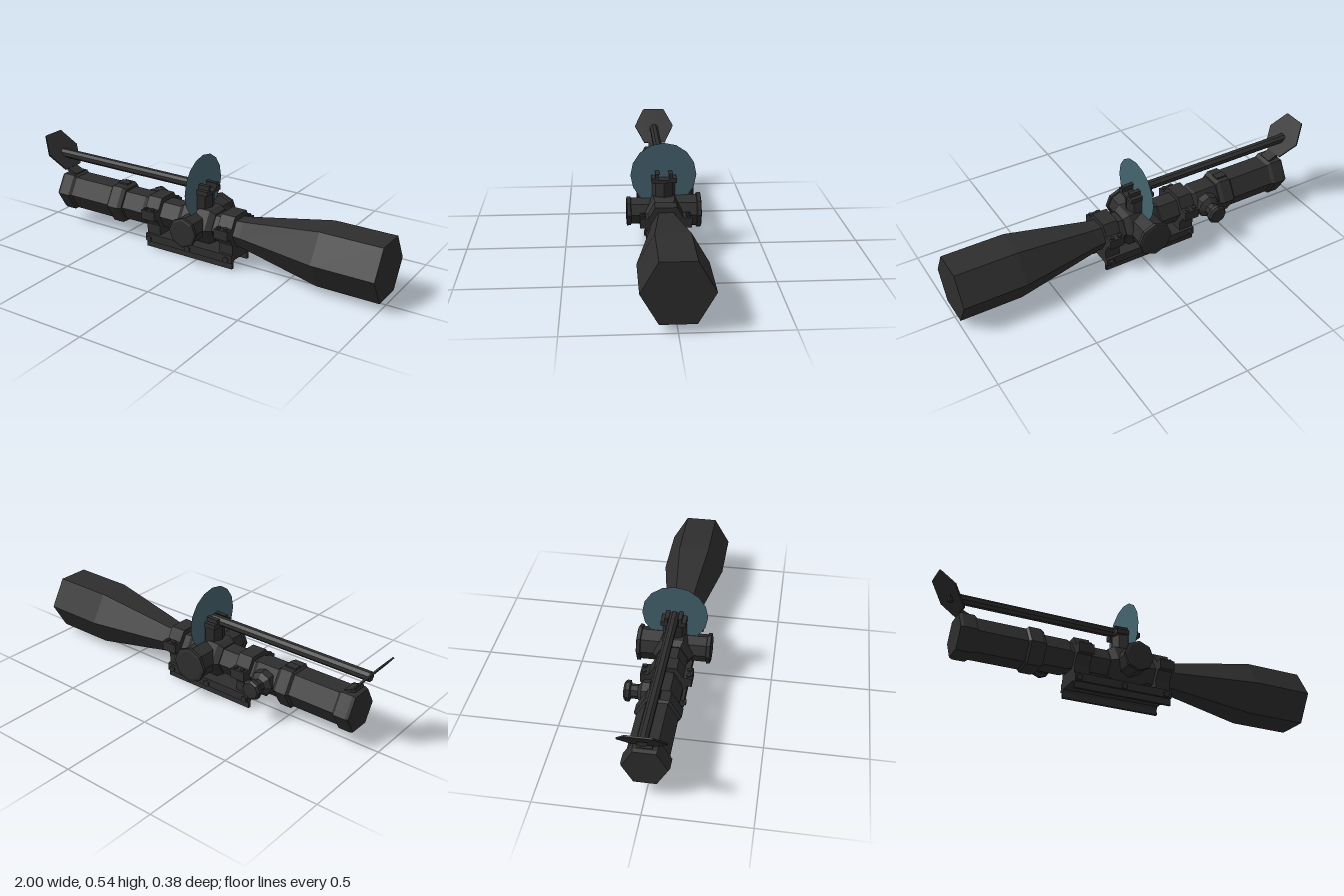
import * as THREE from 'three';

const AXIS = 0.181; // height of the optical axis
const black = new THREE.MeshStandardMaterial({ color: 0x2e2e2e, flatShading: true });
black.name = 'matte black';
const glass = new THREE.MeshStandardMaterial({ color: 0x45646f, flatShading: true, side: THREE.DoubleSide });
glass.name = 'blue glass';

export function createModel() {
  const root = new THREE.Group();
  root.name = 'scope';

  const add = (name, geometry, x = 0, y = 0, z = 0, material = black) => {
    const mesh = new THREE.Mesh(geometry, material);
    mesh.name = name;
    mesh.position.set(x, y, z);
    root.add(mesh);
    return mesh;
  };
  const box = (name, w, h, d, x, y, z) => add(name, new THREE.BoxGeometry(w, h, d), x, y, z);

  // Turned part: [radius, distance] pairs, closed at both ends
  const turned = (profile, sides) => {
    const pts = profile.map(([r, t]) => new THREE.Vector2(r, t));
    pts.unshift(new THREE.Vector2(0, profile[0][1]));
    pts.push(new THREE.Vector2(0, profile[profile.length - 1][1]));
    return new THREE.LatheGeometry(pts, sides);
  };
  const alongX = (name, profile, sides = 6) =>
    add(name, turned(profile, sides).rotateZ(-Math.PI / 2), 0, AXIS, 0);

  // Half outline in (z, y), mirrored and pushed along x from x0 to x1
  const channel = (name, half, x0, x1) => {
    const mirrored = half.map(([z, y]) => [-z, y]).reverse();
    const shape = new THREE.Shape([...half, ...mirrored].map(([z, y]) => new THREE.Vector2(z, y)));
    const g = new THREE.ExtrudeGeometry(shape, { depth: x1 - x0, bevelEnabled: false });
    return add(name, g.rotateY(Math.PI / 2), x0, 0, 0);
  };

  // Hexagonal body, eyepiece to objective
  alongX('eyepieceLip', [[0.106, -0.89], [0.112, -0.875], [0.112, -0.815], [0.1, -0.8]]);
  alongX('eyepieceBody', [[0.1, -0.82], [0.1, -0.54]]);
  alongX('zoomRing', [[0.1, -0.555], [0.113, -0.545], [0.113, -0.485], [0.101, -0.465]]);
  alongX('rearCollar', [[0.089, -0.48], [0.089, -0.34], [0.079, -0.32]]);
  alongX('mainTube', [[0.079, -0.34], [0.079, 0.26]]);
  alongX('objectiveBell', [[0.079, 0.22], [0.082, 0.25], [0.162, 0.68], [0.162, 1.0]]);
  box('zoomRingTab', 0.06, 0.02, 0.04, -0.515, 0.277, -0.01);

  // Turret block and the two side turrets
  alongX('turretBlock', [[0.085, -0.12], [0.105, -0.09], [0.105, 0.06], [0.085, 0.09]]);
  for (const [name, side, r] of [['leftTurret', 1, 0.078], ['rightTurret', -1, 0.093]]) {
    const g = turned([[r * 0.9, 0.04], [r * 0.9, 0.165], [r, 0.168], [r, 0.185], [r * 0.85, 0.189]], 8);
    add(name, g.rotateX(side * Math.PI / 2), -0.016, 0.183, 0);
  }

  // Top post and the forked clamp on it
  add('topPost', turned([[0.06, 0.22], [0.06, 0.355]], 8), -0.016);
  channel('clamp', [
    [0.012, 0.348], [0.063, 0.348], [0.063, 0.372], [0.043, 0.372],
    [0.043, 0.395], [0.022, 0.395], [0.028, 0.385], [0.028, 0.362],
  ], -0.078, 0.05);

  // Long rod over the eyepiece
  const rod = new THREE.CylinderGeometry(0.025, 0.025, 0.91, 8).rotateY(Math.PI / 8).rotateZ(Math.PI / 2);
  add('rod', rod, -0.475, 0.374, 0);

  // Round glass disc standing across the axis
  add('glassDisc', new THREE.CircleGeometry(0.166, 16).rotateY(Math.PI / 2).rotateX(Math.PI / 2),
    -0.012, 0.373, 0, glass);

  // Tilted lens flap with its hinge
  const flapOutline = [[0.107, 0.06], [0, 0.112], [-0.107, 0.06], [-0.107, -0.06], [0, -0.112], [0.107, -0.06]];
  const flap = add('lensFlap', new THREE.ExtrudeGeometry(
    new THREE.Shape(flapOutline.map(([x, z]) => new THREE.Vector2(x, z))),
    { depth: 0.008, bevelEnabled: false }).translate(0, 0, -0.004).rotateX(Math.PI / 2), -0.933, 0.388, 0);
  flap.rotation.z = -Math.atan2(0.165, 0.13);
  const hinge = box('flapHinge', 0.06, 0.016, 0.07, -0.848, 0.286, 0);
  hinge.rotation.z = -0.4;

  // Small knob on the right side
  const knob = turned([[0.065, 0.06], [0.062, 0.098], [0.036, 0.118], [0.036, 0.152],
    [0.052, 0.157], [0.052, 0.176], [0.043, 0.186]], 8);
  add('sideKnob', knob.rotateX(-Math.PI / 2), -0.395, AXIS, 0);

  // Mounting base: a rail channel with a jaw on each side
  channel('mountBase', [
    [0.058, 0.042], [0.066, 0.03], [0.066, 0], [0.08, 0], [0.08, 0.034],
    [0.09, 0.034], [0.09, 0.076], [0.0, 0.076],
  ].slice(0, 7), -0.31, 0.21);
  for (const x of [-0.29, -0.05, 0.18]) {
    for (const side of [1, -1]) {
      add('baseBolt', new THREE.CylinderGeometry(0.017, 0.017, 0.012, 6).rotateX(Math.PI / 2), x, 0.05, side * 0.092);
    }
  }

  // Two clamping rings with ears and bolts
  for (const x of [-0.27, 0.17]) {
    alongX('mountRing', [[0.108, x - 0.04], [0.108, x + 0.04]]);
    box('ringFoot', 0.08, 0.08, 0.15, x, 0.105, 0);
    for (const side of [1, -1]) {
      box('ringEar', 0.08, 0.05, 0.05, x, 0.195, side * 0.102);
      for (const dx of [-0.02, 0.02]) {
        add('ringBolt', new THREE.CylinderGeometry(0.012, 0.012, 0.012, 6), x + dx, 0.224, side * 0.11);
      }
    }
  }
  return root;
}
